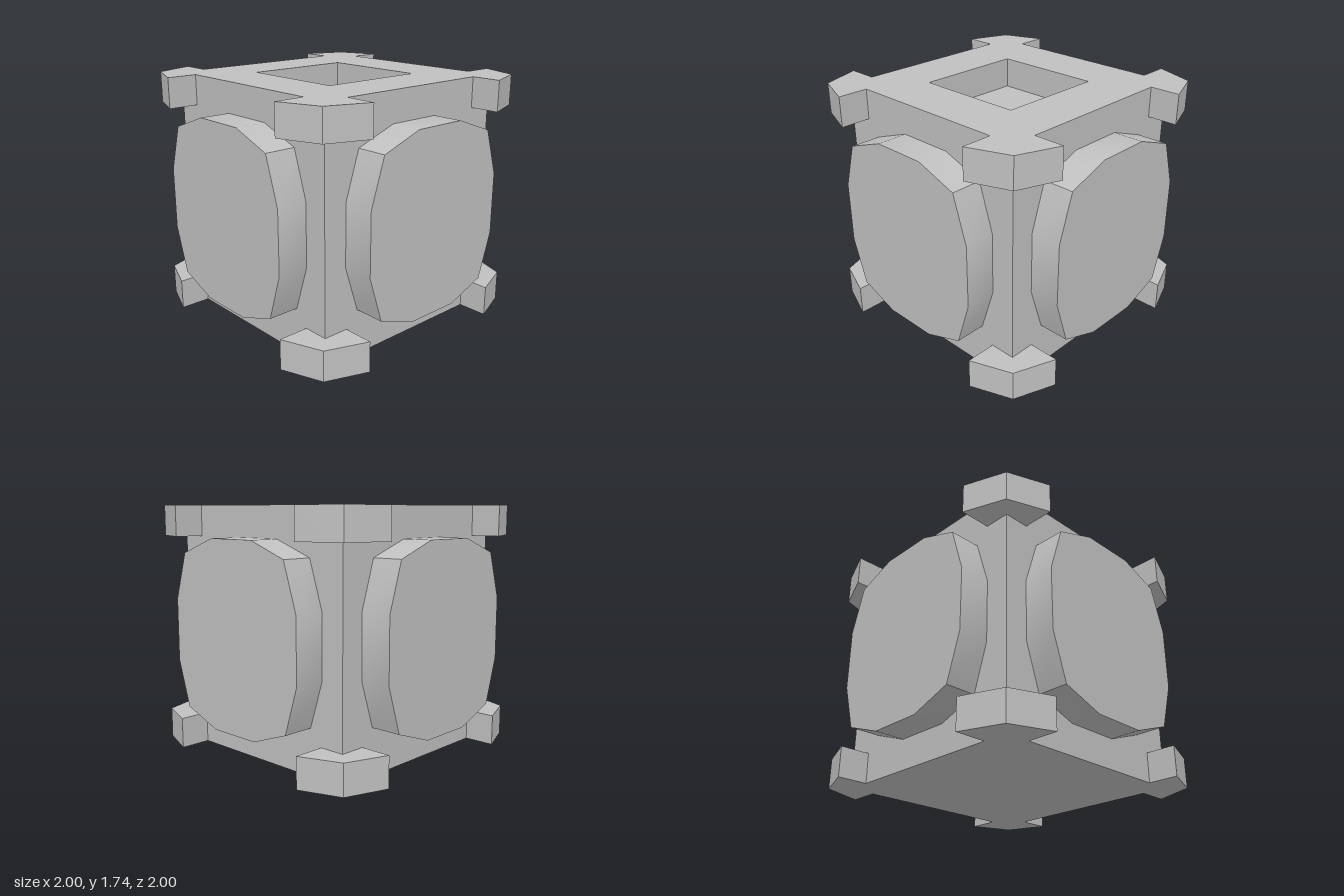
import * as THREE from 'three';
import { toCreasedNormals } from 'three/addons/utils/BufferGeometryUtils.js';

const HEIGHT = 1.74, LAYER = 0.217, HALF = 0.78, RECESS = 0.393;

// Square plan with a faceted lug on each corner
function layerShape() {
  const corner = [[HALF, 0.595], [1, 0.595], [0.89, 0.89], [0.595, 1], [0.595, HALF]];
  const points = [];
  for (let i = 0; i < 4; i++) {
    for (const [x, y] of corner) {
      points.push(new THREE.Vector2(x, y).rotateAround(new THREE.Vector2(), i * Math.PI / 2));
    }
  }
  return new THREE.Shape(points);
}

function layerGeometry(shape) {
  const geometry = new THREE.ExtrudeGeometry(shape, { depth: LAYER, bevelEnabled: false });
  return geometry.rotateX(-Math.PI / 2);
}

// Twelve-sided side pad, smooth across its shallow edges only
function padGeometry() {
  const quarter = [[0.605, 0.22], [0.5, 0.545], [0.2, 0.652]];
  const mirrored = quarter.map(([x, y]) => [-x, y]).reverse();
  const upper = [...quarter, ...mirrored];
  const lower = upper.map(([x, y]) => [-x, -y]);
  const shape = new THREE.Shape([...upper, ...lower].map(([x, y]) => new THREE.Vector2(x, y)));
  const geometry = new THREE.ExtrudeGeometry(shape, { depth: 1 - HALF, bevelEnabled: false });
  return toCreasedNormals(geometry.translate(0, 0, HALF), 0.7);
}

export function createModel() {
  const group = new THREE.Group();
  group.name = 'cubeBlock';
  const grey = new THREE.MeshStandardMaterial({ color: 0xc0c0c0 });
  grey.name = 'grey';

  const add = (name, geometry, y) => {
    const mesh = new THREE.Mesh(geometry, grey);
    mesh.name = name;
    mesh.position.y = y;
    group.add(mesh);
    return mesh;
  };

  // Body: solid base, core, and a top layer with a square recess
  add('baseLayer', layerGeometry(layerShape()), 0);
  add('core', new THREE.BoxGeometry(2 * HALF, HEIGHT - 2 * LAYER, 2 * HALF), HEIGHT / 2);

  const topShape = layerShape();
  topShape.holes.push(new THREE.Path([[-1, -1], [-1, 1], [1, 1], [1, -1]]
    .map(([x, y]) => new THREE.Vector2(x * RECESS, y * RECESS))));
  add('topLayer', layerGeometry(topShape), HEIGHT - LAYER);

  // One raised pad on each side
  const pad = padGeometry();
  ['frontPad', 'leftPad', 'backPad', 'rightPad'].forEach((name, i) => {
    add(name, pad, HEIGHT / 2).rotation.y = i * Math.PI / 2;
  });
  return group;
}
